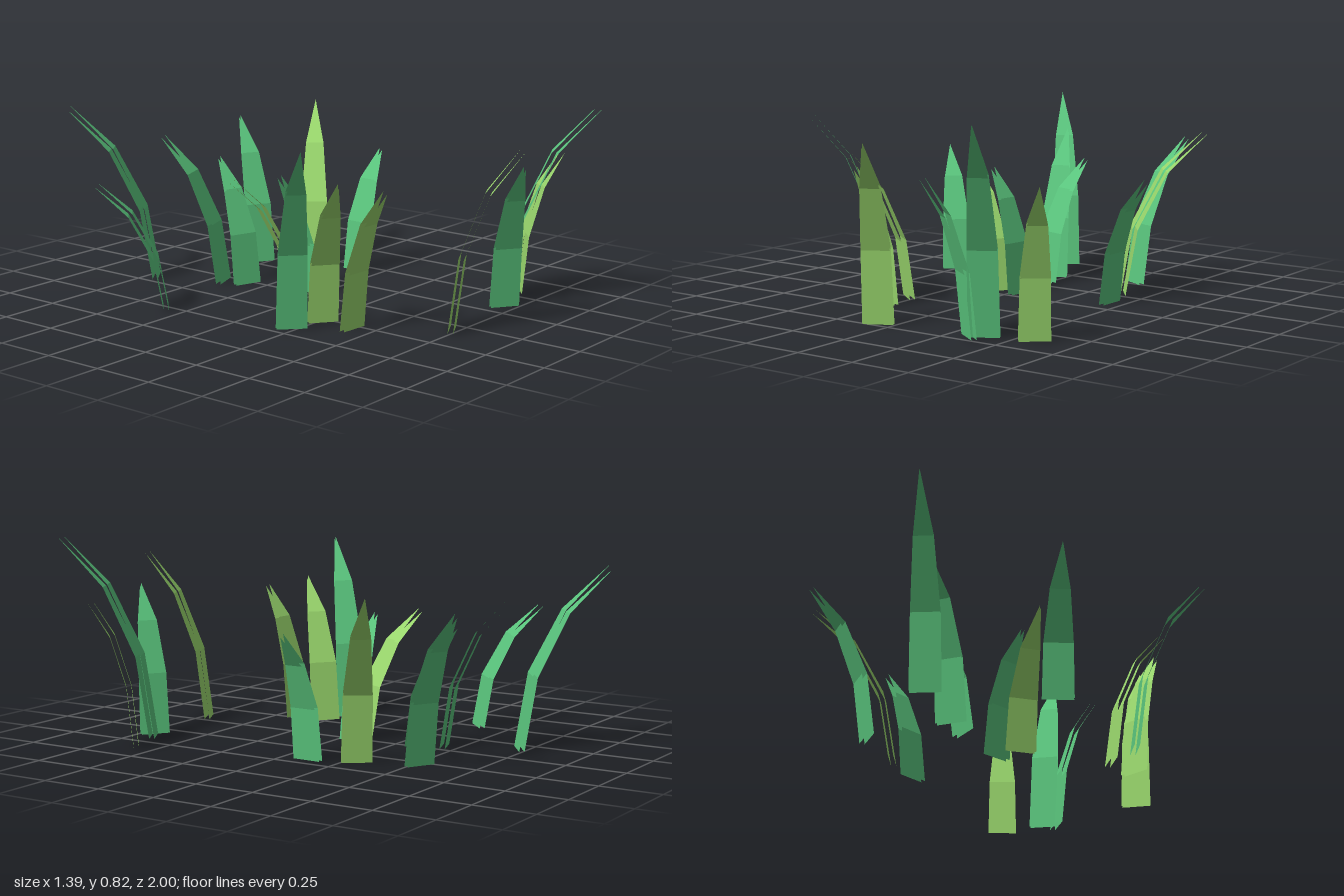
import * as THREE from 'three';

const GAP = 0.021;
// Blade cross-sections: height fraction, lean fraction, half width
const SECTIONS = [
  [0, 0, 0.06],
  [0.41, 0.14, 0.056],
  [0.76, 0.5, 0.038],
  [1, 1, 0],
];

// One curved sheet of a blade, leaning toward +z; side 0 is the upper sheet, 1 the lower
function sheetGeometry(height, lean, side) {
  const centre = SECTIONS.map(([h, l]) => [h * height, l * (lean - 0.01)]);
  const rows = SECTIONS.map(([, , w], i) => {
    const a = centre[Math.max(i - 1, 0)];
    const b = centre[Math.min(i + 1, centre.length - 1)];
    const angle = i === 0 ? 0 : Math.atan2(b[1] - a[1], b[0] - a[0]);
    const y = centre[i][0] - side * GAP * Math.sin(angle);
    const z = centre[i][1] + side * GAP * Math.cos(angle);
    return [new THREE.Vector3(w, y, z), new THREE.Vector3(-w, y, z)];
  });
  const points = [];
  const addTriangle = (a, b, c) => points.push(...(side ? [a, c, b] : [a, b, c]));
  for (let i = 0; i < rows.length - 1; i++) {
    const [r0, l0] = rows[i];
    const [r1, l1] = rows[i + 1];
    addTriangle(r0, l0, l1);
    if (i < rows.length - 2) addTriangle(r0, l1, r1);
  }
  const geometry = new THREE.BufferGeometry().setFromPoints(points);
  geometry.computeVertexNormals();
  return geometry;
}

export function createModel() {
  const green = new THREE.MeshStandardMaterial({ color: 0x5ac57d, side: THREE.DoubleSide });
  green.name = 'leaf green';
  const lime = new THREE.MeshStandardMaterial({ color: 0x9ad86d, side: THREE.DoubleSide });
  lime.name = 'lime green';

  // Base x, base z, tip x, tip z, height
  const greenBlades = [
    [-0.17, -0.705, -0.39, -1.0, 0.73],
    [-0.055, -0.43, -0.15, -0.69, 0.61],
    [-0.03, -0.325, 0.04, -0.545, 0.51],
    [0.29, -0.52, 0.415, -0.75, 0.61],
    [0.425, -0.115, 0.605, -0.11, 0.51],
    [-0.5, -0.345, -0.695, -0.55, 0.515],
    [0.042, -0.065, -0.12, -0.085, 0.51],
    [-0.42, 0.22, -0.645, 0.45, 0.75],
    [0.35, 0.69, 0.24, 0.845, 0.605],
    [0.385, 0.66, 0.573, 0.99, 0.825],
  ];
  const limeBlades = [
    [0.368, -0.293, 0.65, -0.505, 0.675],
    [-0.07, -0.045, -0.3, -0.195, 0.515],
    [-0.275, 0.258, -0.43, 0.455, 0.595],
    [-0.285, 0.402, -0.297, 0.575, 0.565],
    [-0.07, 0.715, 0.057, 0.955, 0.72],
    [0.57, 0.605, 0.69, 0.745, 0.59],
  ];

  const model = new THREE.Group();
  model.name = 'grassPatch';
  const addBlades = (blades, material, name) => {
    for (const [x, z, tipX, tipZ, height] of blades) {
      const blade = new THREE.Group();
      blade.name = name;
      const lean = Math.hypot(tipX - x, tipZ - z);
      for (const side of [0, 1]) {
        const sheet = new THREE.Mesh(sheetGeometry(height, lean, side), material);
        sheet.name = side ? 'lowerSheet' : 'upperSheet';
        blade.add(sheet);
      }
      blade.position.set(x, 0, z);
      blade.rotation.y = Math.atan2(tipX - x, tipZ - z);
      model.add(blade);
    }
  };
  addBlades(greenBlades, green, 'greenBlade');
  addBlades(limeBlades, lime, 'limeBlade');
  return model;
}
